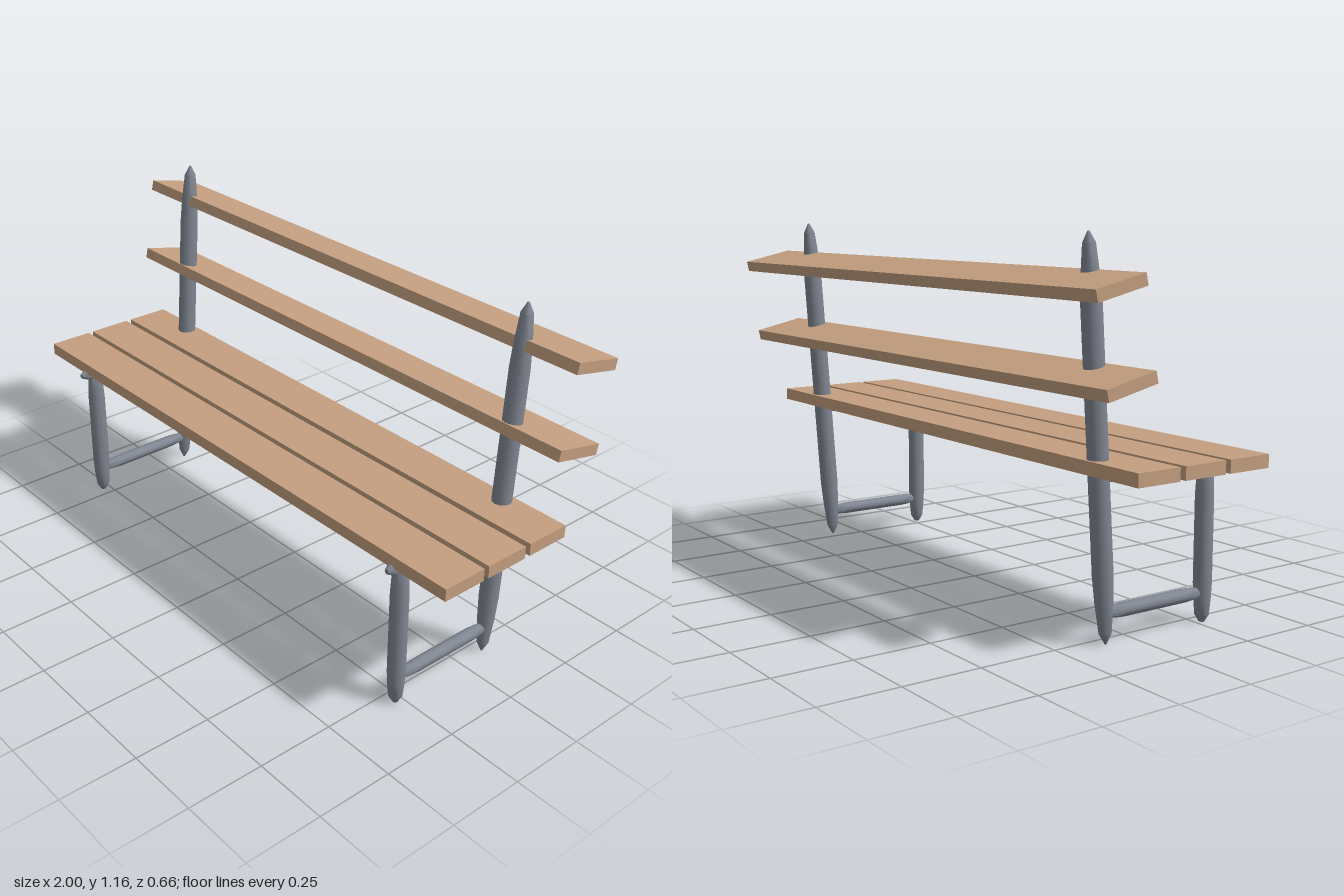
import * as THREE from 'three';
import { toCreasedNormals } from 'three/addons/utils/BufferGeometryUtils.js';

const UP = new THREE.Vector3(0, 1, 0);

export function createModel() {
  const bench = new THREE.Group();
  bench.name = 'bench';
  const wood = new THREE.MeshStandardMaterial({ color: 0xc49f80 });
  const metal = new THREE.MeshStandardMaterial({ color: 0x808692 });

  // Round pole between two (y, z) points, narrowing to a blunt tip at each end
  function pole(name, [y0, z0], [y1, z1], { r, taper, endR, tip, tipR }) {
    const a = new THREE.Vector3(0, y0, z0);
    const dir = new THREE.Vector3(0, y1, z1).sub(a);
    const len = dir.length();
    const half = [[0, 0], [tipR, 0], [endR, tip], [(r * 2 + endR) / 3, taper * 0.6], [r, taper]];
    const points = [...half, ...half.map(([x, y]) => [x, len - y]).reverse()]
      .map(([x, y]) => new THREE.Vector2(x, y));
    const mesh = new THREE.Mesh(toCreasedNormals(new THREE.LatheGeometry(points, 12), 0.55), metal);
    mesh.name = name;
    mesh.position.copy(a);
    mesh.quaternion.setFromUnitVectors(UP, dir.normalize());
    return mesh;
  }

  // One frame on each side
  for (const [side, x] of [['left', 0.79], ['right', -0.79]]) {
    const frame = new THREE.Group();
    frame.name = side + 'Frame';
    frame.position.x = x;
    frame.add(
      pole('frontLeg', [0.004, 0.274], [0.506, 0.274],
        { r: 0.029, taper: 0.12, endR: 0.022, tip: 0.022, tipR: 0.009 }),
      pole('backPost', [0.004, -0.099], [1.163, -0.18],
        { r: 0.031, taper: 0.2, endR: 0.019, tip: 0.032, tipR: 0.003 }),
      pole('seatRail', [0.49, 0.329], [0.49, -0.135],
        { r: 0.025, taper: 0.1, endR: 0.018, tip: 0.018, tipR: 0.008 }),
      pole('lowerRail', [0.095, 0.275], [0.095, -0.115],
        { r: 0.021, taper: 0.075, endR: 0.014, tip: 0.015, tipR: 0.006 }),
    );
    bench.add(frame);
  }

  // Plank running the full width of the bench
  function plank(name, y, z, thickness, depth, tilt = 0) {
    const mesh = new THREE.Mesh(new THREE.BoxGeometry(2, thickness, depth), wood);
    mesh.name = name;
    mesh.position.set(0, y, z);
    mesh.rotation.x = tilt;
    bench.add(mesh);
  }

  [0.238, 0.07, -0.1].forEach((z, i) => plank('seatSlat' + (i + 1), 0.518, z, 0.04, 0.15));
  // Back planks slope down towards the rear
  plank('lowerBackSlat', 0.768, -0.199, 0.035, 0.172, -0.222);
  plank('upperBackSlat', 1.024, -0.24, 0.035, 0.172, -0.222);

  return bench;
}
